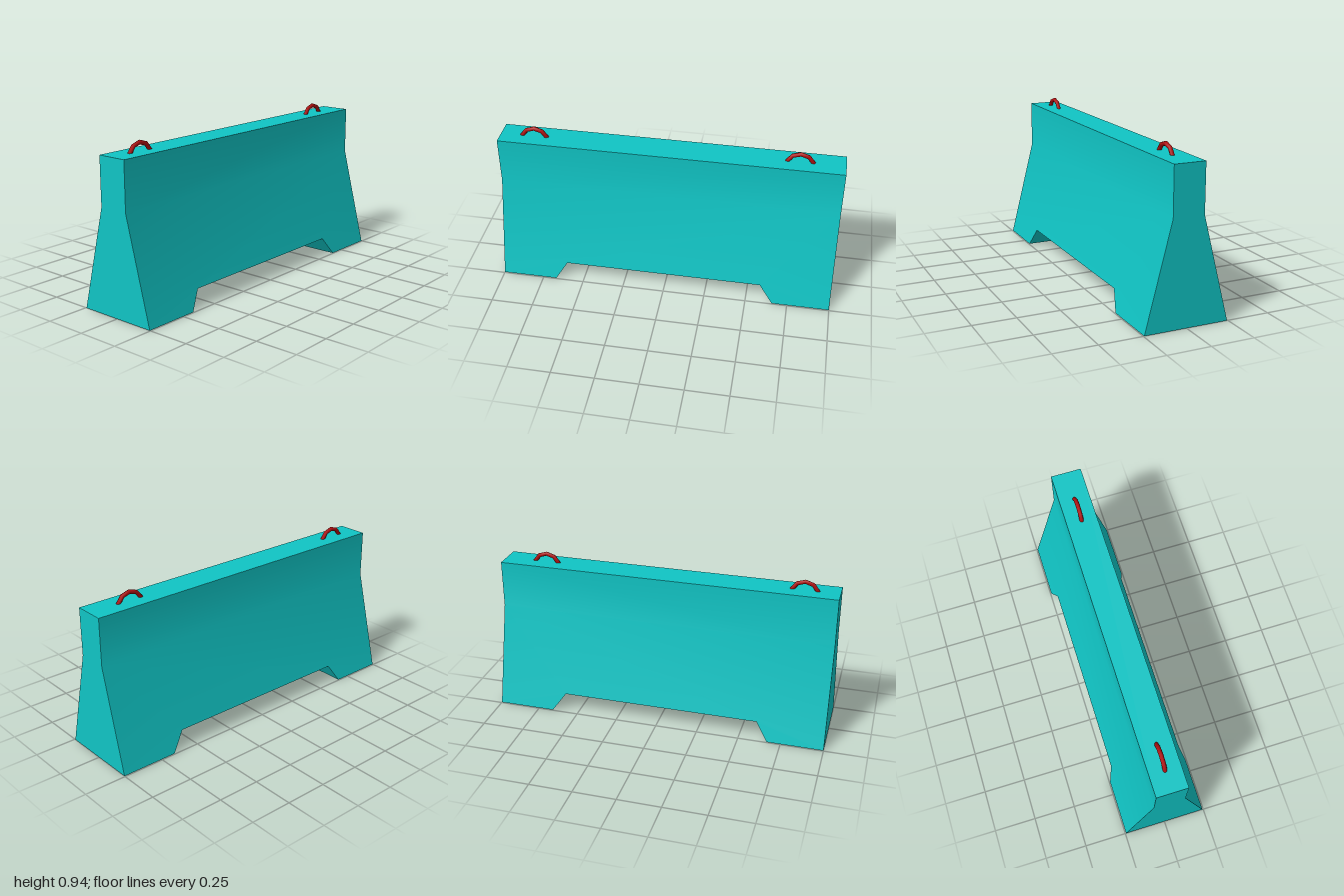
import * as THREE from 'three';

// Half thickness of the wall at height y: straight neck, flared foot
const halfDepth = y => (y >= 0.6 ? 0.091 : 0.245 - (0.154 * y) / 0.6);

// Front outline, anticlockwise; points 6 and 9 mark the bend line
const outline = [
  [-1, 0], [-0.67, 0], [-0.6, 0.11], [0.58, 0.11], [0.66, 0], [1, 0],
  [1, 0.6], [1, 0.88], [-1, 0.88], [-1, 0.6],
];

function makeGeometry(positions, index) {
  const g = new THREE.BufferGeometry();
  g.setAttribute('position', new THREE.Float32BufferAttribute(positions, 3));
  g.setIndex(index);
  g.computeVertexNormals();
  return g;
}

// One large face, smooth across the bend; sign +1 is front, -1 is back
function sideGeometry(sign) {
  const positions = outline.flatMap(([x, y]) => [x, y, sign * halfDepth(y)]);
  const lower = [0, 1, 2, 3, 4, 5, 6, 9];
  const points = lower.map(i => new THREE.Vector2(...outline[i]));
  const tris = THREE.ShapeUtils.triangulateShape(points, []).map(t => t.map(i => lower[i]));
  tris.push([9, 6, 7], [9, 7, 8]);
  return makeGeometry(positions, tris.flatMap(([a, b, c]) => (sign > 0 ? [a, b, c] : [a, c, b])));
}

// Flat strips joining front and back: top, ends, feet and underside recess
function rimGeometry() {
  const positions = [], index = [];
  outline.forEach(([x0, y0], i) => {
    const [x1, y1] = outline[(i + 1) % outline.length];
    const d0 = halfDepth(y0), d1 = halfDepth(y1), n = i * 4;
    positions.push(x0, y0, d0, x0, y0, -d0, x1, y1, -d1, x1, y1, d1);
    index.push(n, n + 1, n + 2, n, n + 2, n + 3);
  });
  return makeGeometry(positions, index);
}

export function createModel() {
  const group = new THREE.Group();
  const teal = new THREE.MeshStandardMaterial({ color: 0x10c4c4 });
  const red = new THREE.MeshStandardMaterial({ color: 0xb01010, side: THREE.DoubleSide });
  const add = (name, geometry, material) => {
    const mesh = new THREE.Mesh(geometry, material);
    mesh.name = name;
    group.add(mesh);
    return mesh;
  };

  // Wall
  add('frontFace', sideGeometry(1), teal);
  add('backFace', sideGeometry(-1), teal);
  add('wallEdges', rimGeometry(), teal);

  // Lifting loops: four-segment arcs sunk into the top
  const arc = (140 * Math.PI) / 180;
  const loop = new THREE.TorusGeometry(0.079, 0.0125, 8, 4, arc);
  loop.rotateZ((Math.PI - arc) / 2);
  for (const [name, x] of [['rightLiftingLoop', -0.8], ['leftLiftingLoop', 0.743]]) {
    add(name, loop, red).position.set(x, 0.849, 0);
  }
  return group;
}
